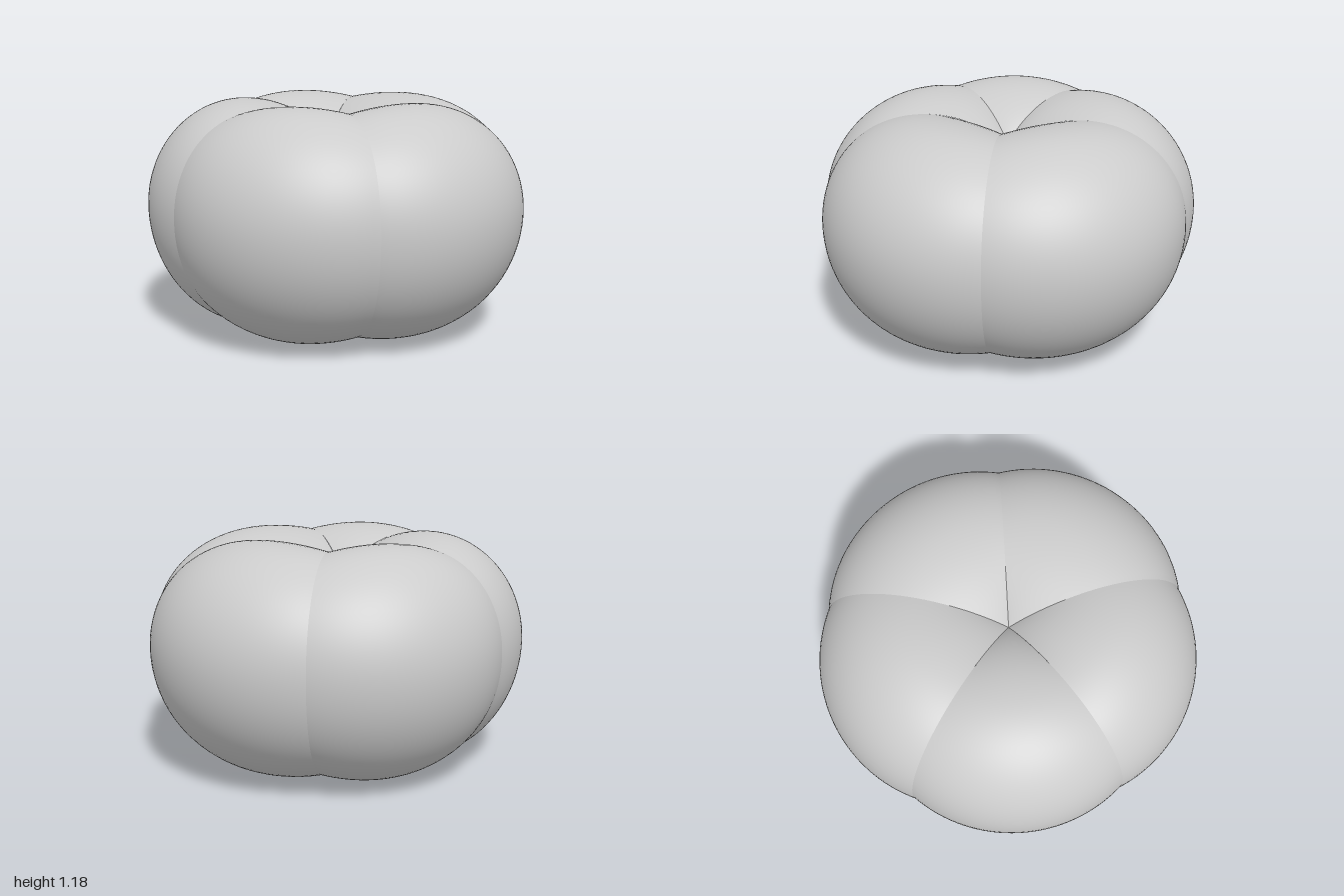
import * as THREE from 'three';

// Axis of the fruit, where all creases meet
const AXIS = { x: -0.04, z: 0.04 };
const EQUATOR = 0.64;

// Upper and lower cross-section: ring = radius of the crest (as a fraction),
// outer / inner = half widths either side of the crest, height = crest height
const TOP = { ring: 0.48, outer: 0.52, inner: 0.605, height: 0.545, dip: 0.035 };
const BOTTOM = { ring: 0.40, outer: 0.60, inner: 0.74, height: -0.64, dip: -0.03 };

// Creases: angle in degrees (from +x towards +z), radius, bulge of the lobe after it
const CREASES = [
  [-45, 0.98, 0.07],
  [31, 0.955, 0.045],
  [100, 0.92, 0.04],
  [170, 0.914, 0.045],
  [239, 0.97, 0.065],
];

// Height over the equator at fraction f of the radius
function crossSection(half, f, facing, swell) {
  const { ring, outer, inner, height, dip } = half;
  let d;
  if (f > ring) {
    d = (f - ring) / outer;
  } else {
    // flatten the dimple wall into a wedge facing the axis
    const g = f * (1 - (1 - facing) * (1 - f / ring));
    d = (ring - g) / inner;
  }
  return height * Math.sqrt(Math.max(0, 1 - d * d)) - dip * (1 - swell) * Math.sin(Math.PI * f);
}

// Fractions of the radius from the dimple out to the equator
function fractions(half, steps) {
  const start = -Math.asin(half.ring / half.inner);
  const list = [];
  for (let i = 0; i <= steps; i++) {
    const a = start + (Math.PI / 2 - start) * (i / steps);
    list.push(half.ring + Math.sin(a) * (a < 0 ? half.inner : half.outer));
  }
  list[0] = 0;
  list[steps] = 1;
  return list;
}

function lobeGeometry(start, end, r0, r1, bulge) {
  const across = 32, steps = 36;
  const rows = [
    ...fractions(TOP, steps).map((f) => [TOP, f]),
    ...fractions(BOTTOM, steps).reverse().slice(1).map((f) => [BOTTOM, f]),
  ];
  const positions = [], index = [];
  for (const [half, f] of rows) {
    for (let i = 0; i <= across; i++) {
      const u = i / across;
      const angle = THREE.MathUtils.degToRad(start + (end - start) * u);
      const facing = Math.cos(THREE.MathUtils.degToRad((end - start) * (u - 0.5)));
      const swell = 4 * u * (1 - u);
      const r = f * (r0 + (r1 - r0) * u + bulge * swell);
      positions.push(
        AXIS.x + r * Math.cos(angle),
        EQUATOR + crossSection(half, f, facing, swell),
        AXIS.z + r * Math.sin(angle),
      );
    }
  }
  const w = across + 1;
  for (let j = 0; j < rows.length - 1; j++) {
    for (let i = 0; i < across; i++) {
      const a = j * w + i;
      if (j > 0) index.push(a, a + 1, a + w);
      if (j < rows.length - 2) index.push(a + 1, a + w + 1, a + w);
      else index.push(a, a + 1, a + w);
    }
  }
  const geometry = new THREE.BufferGeometry();
  geometry.setAttribute('position', new THREE.Float32BufferAttribute(positions, 3));
  geometry.setIndex(index);
  geometry.computeVertexNormals();
  return geometry;
}

export function createModel() {
  const group = new THREE.Group();
  group.name = 'lobedFruit';
  const material = new THREE.MeshStandardMaterial({ color: 0xcccccc });

  // One smooth lobe between each pair of creases; the seams stay sharp
  CREASES.forEach(([start, r0, bulge], i) => {
    const next = CREASES[(i + 1) % CREASES.length];
    const end = next[0] > start ? next[0] : next[0] + 360;
    const lobe = new THREE.Mesh(lobeGeometry(start, end, r0, next[1], bulge), material);
    lobe.name = `lobe${i + 1}`;
    group.add(lobe);
  });
  return group;
}
